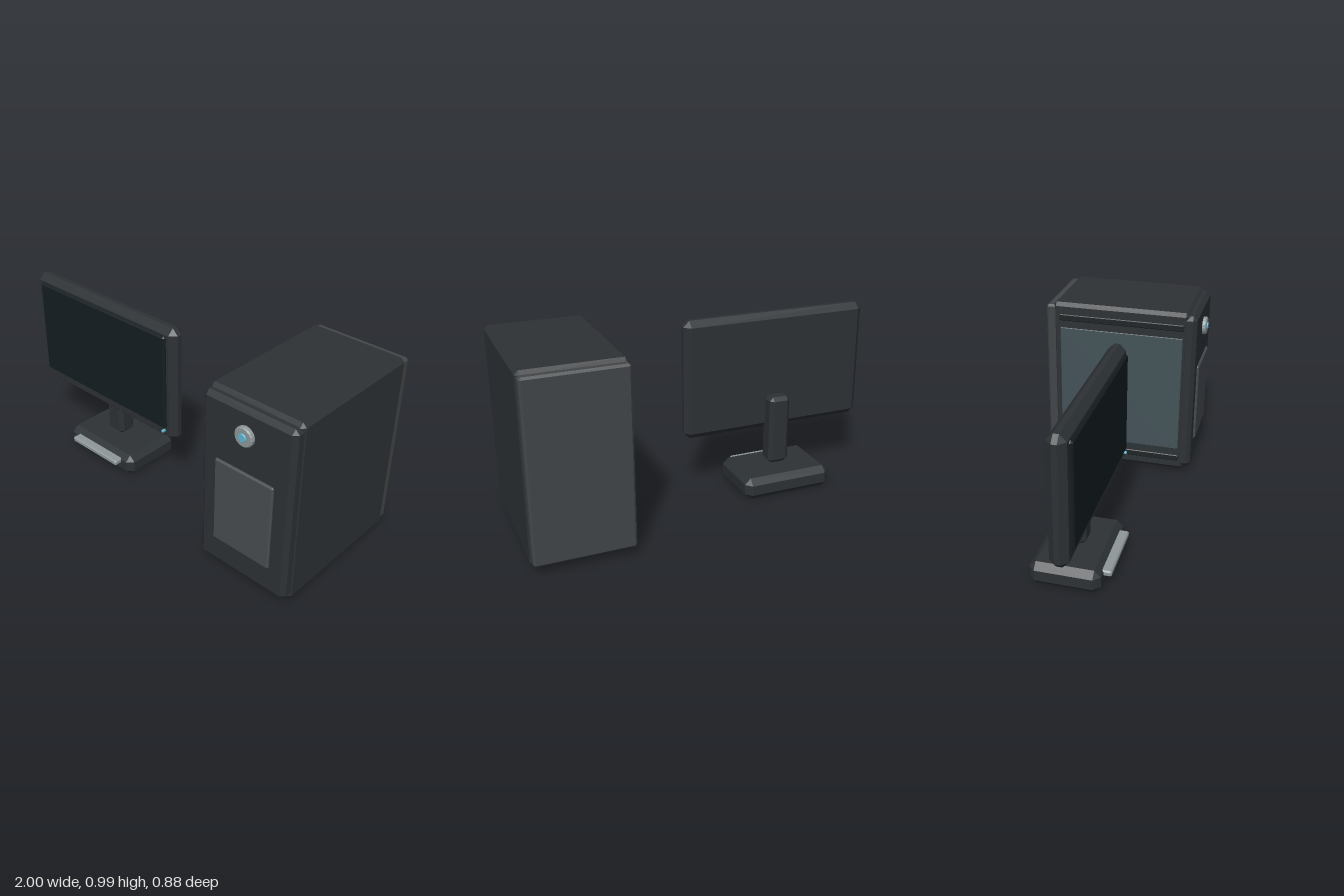
import * as THREE from 'three';
import { ConvexGeometry } from 'three/addons/geometries/ConvexGeometry.js';

const material = (color) => new THREE.MeshStandardMaterial({ color, flatShading: true });
const shell = material(0x2d3235);
const rearGrey = material(0x424648);
const panelGrey = material(0x484d50);
const screenDark = material(0x151d21);
const glass = material(0x435257);
const trim = material(0x202426);
const metal = material(0x8f9899);
const cyan = material(0x5fb8d4);

// Box with every edge cut by a flat chamfer c, given as [min, max] ranges
function chamferBox(name, mat, xr, yr, zr, c) {
  const mid = [xr, yr, zr].map(([a, b]) => (a + b) / 2);
  const half = [xr, yr, zr].map(([a, b]) => (b - a) / 2);
  const points = [];
  for (const sx of [-1, 1]) for (const sy of [-1, 1]) for (const sz of [-1, 1]) {
    for (let axis = 0; axis < 3; axis++) {
      const p = half.map((h, i) => (i === axis ? h : h - c));
      points.push(new THREE.Vector3(sx * p[0], sy * p[1], sz * p[2]));
    }
  }
  const mesh = new THREE.Mesh(new ConvexGeometry(points), mat);
  mesh.position.set(...mid);
  mesh.name = name;
  return mesh;
}

// Round part facing the front, with a bevelled front rim
function disc(name, mat, radius, x, y, z0, z1, bevel) {
  const d = z1 - z0;
  const profile = [[0, 0], [radius, 0], [radius, d - bevel], [radius - bevel, d], [0, d]]
    .map(([r, h]) => new THREE.Vector2(r, h));
  const mesh = new THREE.Mesh(new THREE.LatheGeometry(profile, 16), mat);
  mesh.rotation.x = Math.PI / 2;
  mesh.position.set(x, y, z0);
  mesh.name = name;
  return mesh;
}

function createMonitor() {
  const g = new THREE.Group();
  g.name = 'monitor';
  g.add(
    chamferBox('monitorFrame', shell, [-1, 0.05], [0.325, 0.975], [0.045, 0.137], 0.033),
    chamferBox('screen', screenDark, [-0.945, 0], [0.4, 0.935], [0.12, 0.153], 0.01),
    chamferBox('statusLight', cyan, [-0.022, -0.008], [0.378, 0.392], [0.13, 0.158], 0.003),
    chamferBox('standNeck', shell, [-0.533, -0.415], [0.135, 0.52], [-0.025, 0.08], 0.02),
    chamferBox('standBase', shell, [-0.728, -0.222], [0, 0.122], [-0.152, 0.203], 0.033),
    chamferBox('baseStrip', metal, [-0.652, -0.296], [0.065, 0.096], [0.18, 0.243], 0.007)
  );
  return g;
}

function createTower() {
  const g = new THREE.Group();
  g.name = 'tower';
  g.add(
    chamferBox('case', shell, [0.488, 1], [0.03, 0.987], [-0.4, 0.372], 0.02),
    chamferBox('frontPanel', shell, [0.491, 0.995], [0.05, 0.97], [0.33, 0.412], 0.022),
    chamferBox('rearPanel', rearGrey, [0.493, 0.993], [0.05, 0.97], [-0.437, -0.37], 0.011),
    chamferBox('frontGrille', panelGrey, [0.578, 0.905], [0.198, 0.652], [0.39, 0.424], 0.007),
    chamferBox('sideWindow', glass, [0.484, 0.51], [0.165, 0.845], [-0.355, 0.34], 0.003)
  );
  // Trim rails above and below the side window
  for (const y of [0.105, 0.905]) {
    g.add(chamferBox('windowRail', trim, [0.482, 0.51], [y - 0.018, y + 0.018], [-0.36, 0.345], 0.004));
  }
  g.add(
    disc('buttonRing', metal, 0.05, 0.74, 0.841, 0.4, 0.434, 0.006),
    disc('powerButton', cyan, 0.021, 0.74, 0.841, 0.42, 0.44, 0.003)
  );
  return g;
}

export function createModel() {
  const model = new THREE.Group();
  model.name = 'desktopComputer';
  model.add(createMonitor(), createTower());
  return model;
}
